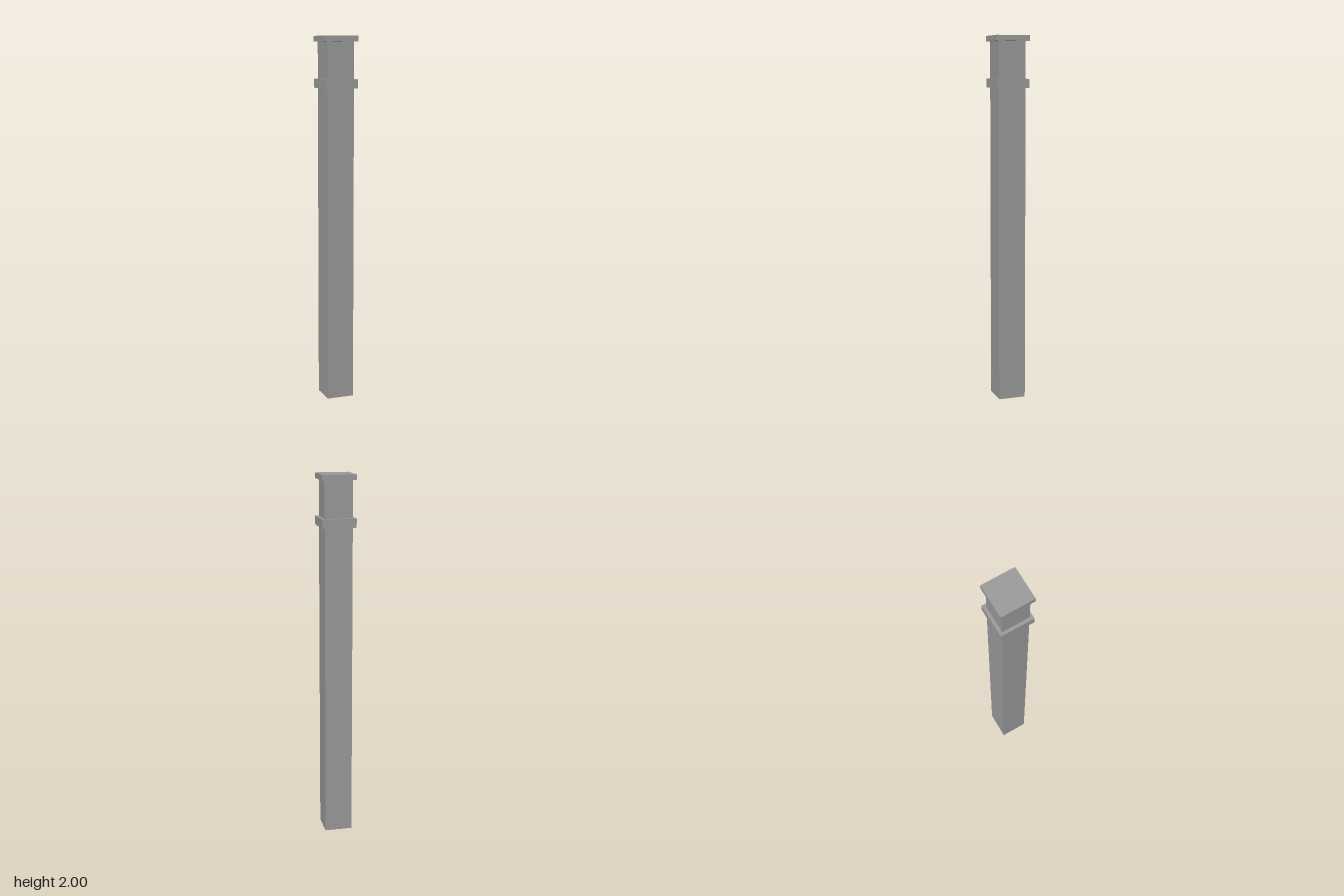
import * as THREE from 'three';

export function createModel() {
  const model = new THREE.Group();
  model.name = 'post';
  const material = new THREE.MeshStandardMaterial({ color: 0x9c9c9c, flatShading: true });

  // Square block spanning bottom to top
  function addBlock(name, width, bottom, top) {
    const mesh = new THREE.Mesh(new THREE.BoxGeometry(width, top - bottom, width), material);
    mesh.name = name;
    mesh.position.y = (bottom + top) / 2;
    model.add(mesh);
  }

  addBlock('shaft', 0.151, 0, 1.97);
  addBlock('collar', 0.185, 1.723, 1.771);
  addBlock('cap', 0.185, 1.97, 2);

  return model;
}
